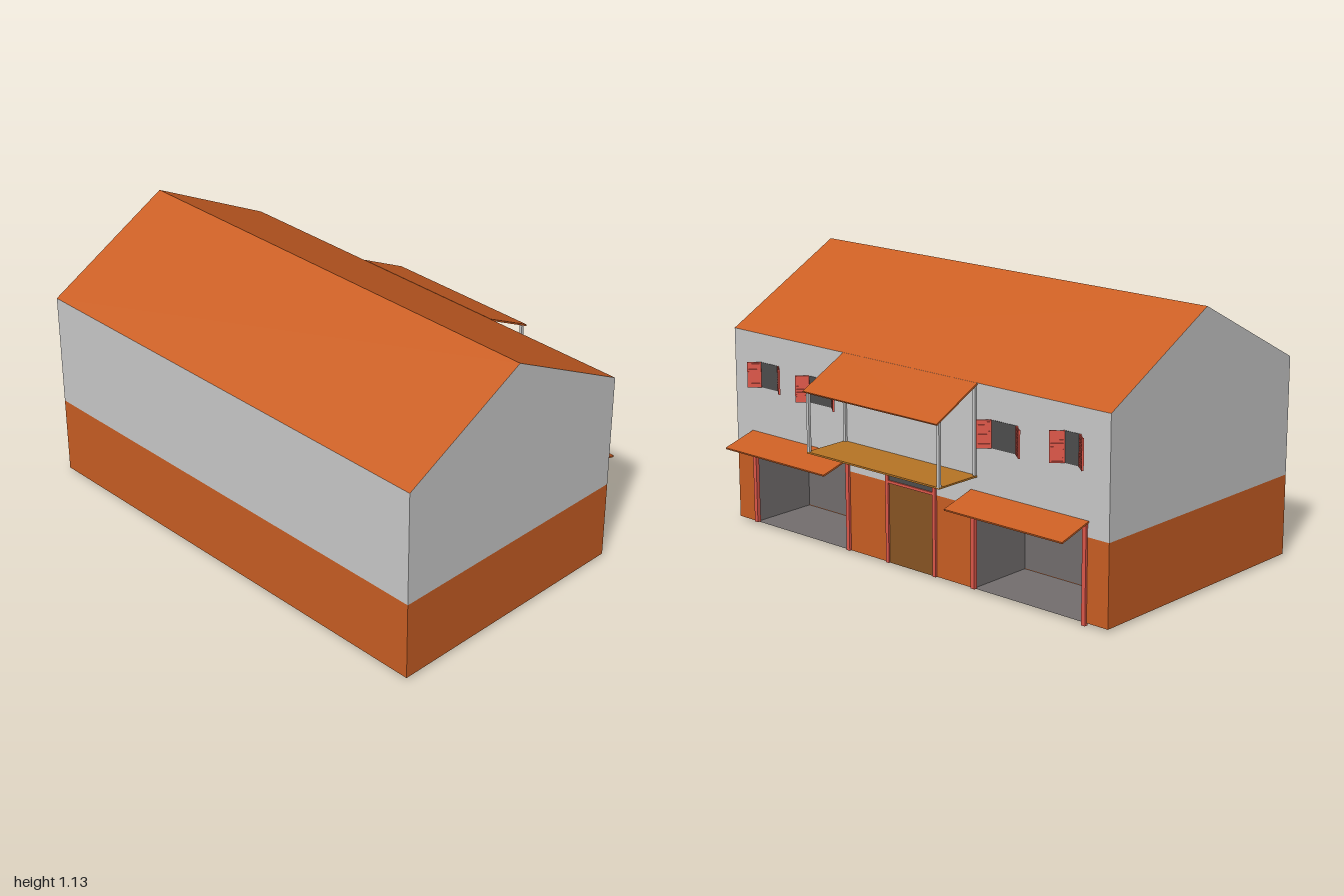
import * as THREE from 'three';

const material = (color, side = THREE.FrontSide) => new THREE.MeshStandardMaterial({ color, side, flatShading: true });
const WALL = 0xcccccc, ORANGE = 0xcb5f24, RED = 0xe0584a, GARAGE = 0x746f6f, GLASS = 0x4e4e4e, DOOR = 0x8a5624, DECK = 0xb87525;

// Main dimensions
const BACK = -0.68, FRONT = 0.45, BASE = 0.01, BAND = 0.345, EAVE = 0.833, RIDGE_X = -0.115, RIDGE_Y = 1.13;
const LIFT = 0.4, DEPTH = 0.3;
const garages = [[0.34, 0.89], [-0.89, -0.34]];

export function createModel() {
  const house = new THREE.Group();
  house.name = 'house';

  const add = (parent, name, geometry, color, side) => {
    const mesh = new THREE.Mesh(geometry, material(color, side));
    mesh.name = name;
    parent.add(mesh);
    return mesh;
  };

  // Box given by its limits on each axis
  const box = (parent, name, color, [x0, x1], [y0, y1], [z0, z1]) => {
    const mesh = add(parent, name, new THREE.BoxGeometry(x1 - x0, y1 - y0, z1 - z0), color);
    mesh.position.set((x0 + x1) / 2, (y0 + y1) / 2, (z0 + z1) / 2);
    return mesh;
  };

  // Thin flat panel: an outline mapped into space by a rule
  const panel = (parent, name, color, outline, place) => {
    const geometry = new THREE.ShapeGeometry(new THREE.Shape(outline.map(([u, v]) => new THREE.Vector2(u, v))));
    const p = geometry.attributes.position;
    for (let i = 0; i < p.count; i++) p.setXYZ(i, ...place(p.getX(i), p.getY(i)));
    // every place rule keeps the panel planar
    geometry.computeVertexNormals();
    return add(parent, name, geometry, color, THREE.DoubleSide);
  };
  const rect = (u0, u1, v0, v1) => [[u0, v0], [u1, v0], [u1, v1], [u0, v1]];
  const alongX = (x) => (u, v) => [x, v, -u]; // faces +x
  const level = (y) => (u, v) => [u, y, -v]; // faces +y

  // Gable ends
  for (const s of [1, -1]) {
    const place = (u, v) => [s * u, v, s];
    panel(house, 'gableBase', ORANGE, rect(s * BACK, s * FRONT, BASE, BAND), place);
    panel(house, 'gableWall', WALL,
      [[s * BACK, BAND], [s * FRONT, BAND], [s * FRONT, EAVE], [s * RIDGE_X, RIDGE_Y], [s * BACK, EAVE]], place);
  }

  // Long rear wall
  const rear = (u, v) => [BACK, v, u];
  panel(house, 'rearBase', ORANGE, rect(-1, 1, BASE, BAND), rear);
  panel(house, 'rearWall', WALL, rect(-1, 1, BAND, EAVE), rear);

  // Long entrance wall, notched over the garage openings
  for (const [a, b] of [[-1, -0.89], [-0.34, 0.34], [0.89, 1]])
    panel(house, 'entranceBase', ORANGE, rect(a, b, BASE, BAND), alongX(FRONT));
  panel(house, 'entranceWall', WALL, [
    [-1, BAND], [-0.89, BAND], [-0.89, LIFT], [-0.34, LIFT], [-0.34, BAND], [0.34, BAND],
    [0.34, LIFT], [0.89, LIFT], [0.89, BAND], [1, BAND], [1, EAVE], [-1, EAVE],
  ], alongX(FRONT));

  // Underside, notched under the garages
  const inner = FRONT - DEPTH;
  panel(house, 'underside', WALL, [
    [BACK, -1], [FRONT, -1], [FRONT, -0.89], [inner, -0.89], [inner, -0.34], [FRONT, -0.34], [FRONT, 0.34],
    [inner, 0.34], [inner, 0.89], [FRONT, 0.89], [FRONT, 1], [BACK, 1],
  ], level(BASE));

  // Two roof slopes
  const slope = (x) => (u, v) => [THREE.MathUtils.lerp(x, RIDGE_X, v), THREE.MathUtils.lerp(EAVE, RIDGE_Y, v), x > 0 ? -u : u];
  panel(house, 'roofSlope', ORANGE, rect(-1, 1, 0, 1), slope(FRONT));
  panel(house, 'roofSlope', ORANGE, rect(-1, 1, 0, 1), slope(BACK));

  // Sloping slab from the wall outwards
  const canopy = (name, [x0, y0], [x1, y1], [z0, z1]) => {
    const mesh = add(house, name, new THREE.BoxGeometry(Math.hypot(x1 - x0, y1 - y0), 0.007, z1 - z0), ORANGE);
    mesh.position.set((x0 + x1) / 2, (y0 + y1) / 2, (z0 + z1) / 2);
    mesh.rotation.z = Math.atan2(y1 - y0, x1 - x0);
  };

  // Garages: open recess, red posts, awning
  for (const [z0, z1] of garages) {
    const garage = new THREE.Group();
    garage.name = 'garage';
    house.add(garage);
    panel(garage, 'garageBack', GARAGE, rect(-z1, -z0, BASE, LIFT), alongX(inner));
    for (const z of [z0, z1])
      panel(garage, 'garageSide', GARAGE, rect(inner, FRONT, BASE, LIFT), (u, v) => [u, v, z]);
    panel(garage, 'garageCeiling', GARAGE, rect(inner, FRONT, -z1, -z0), level(LIFT));
    panel(garage, 'garageFloor', GARAGE, rect(inner, FRONT, -z1, -z0), level(BASE));
    box(garage, 'floorSlab', ORANGE, [-0.13, inner], [0.002, BASE + 0.002], [z0, z1]);
    for (const z of [z0, z1])
      box(garage, 'garagePost', RED, [0.443, 0.46], [z === -0.89 ? 0 : BASE, LIFT], [z - 0.009, z + 0.009]);
    canopy('awning', [FRONT, 0.405], [0.603, 0.362], [z0 - 0.015, z1 + 0.015]);
  }

  // Entrance door with transom window and frame
  box(house, 'door', DOOR, [0.44, 0.453], [BASE, 0.346], [-0.13, 0.11]);
  box(house, 'transomWindow', GLASS, [0.44, 0.453], [0.355, 0.405], [-0.13, 0.11]);
  for (const z of [-0.137, 0.117])
    box(house, 'doorPost', RED, [0.443, 0.46], [BASE, 0.415], [z - 0.008, z + 0.008]);
  for (const y of [0.35, 0.41])
    box(house, 'doorRail', RED, [0.443, 0.459], [y - 0.006, y + 0.005], [-0.13, 0.11]);

  // Balcony deck, roof extension and posts
  box(house, 'balconyDeck', DECK, [FRONT, 0.66], [0.462, 0.469], [-0.355, 0.358]);
  canopy('balconyRoof', [FRONT, 0.83], [0.675, 0.716], [-0.358, 0.358]);
  for (const z of [-0.348, 0.35]) {
    box(house, 'balconyPost', WALL, [0.648, 0.66], [0.466, 0.724], [z - 0.006, z + 0.006]);
    box(house, 'wallPost', WALL, [0.448, 0.46], [0.466, 0.825], [z - 0.006, z + 0.006]);
  }

  // Louvred shutter, hinged at z and swung away in the given direction
  const shutter = (z, direction, y0, y1) => {
    const leaf = new THREE.Group();
    leaf.name = 'shutter';
    leaf.position.set(FRONT, 0, z);
    leaf.rotation.y = direction * Math.atan2(0.038, 0.045);
    house.add(leaf);
    const span = (a, b) => (direction > 0 ? [a, b] : [-b, -a]);
    box(leaf, 'shutterPanel', RED, [0, 0.004], [y0, y1], span(0, 0.058));
    for (const a of [0, 0.052])
      box(leaf, 'shutterStile', RED, [-0.002, 0.006], [y0, y1], span(a, a + 0.006));
    const slats = 9, step = (y1 - y0) / slats;
    for (let i = 0; i < slats; i++)
      box(leaf, 'shutterSlat', RED, [-0.002, 0.006], [y0 + i * step, y0 + (i + 0.5) * step], span(0.006, 0.052));
  };

  // Windows
  for (const [z0, z1, y0, y1] of [
    [0.738, 0.843, 0.605, 0.712], [0.422, 0.557, 0.592, 0.703],
    [-0.557, -0.43, 0.592, 0.703], [-0.86, -0.787, 0.607, 0.73],
  ]) {
    box(house, 'windowPane', GLASS, [0.445, 0.452], [y0, y1], [z0, z1]);
    shutter(z1, 1, y0, y1);
    shutter(z0, -1, y0, y1);
  }

  return house;
}
